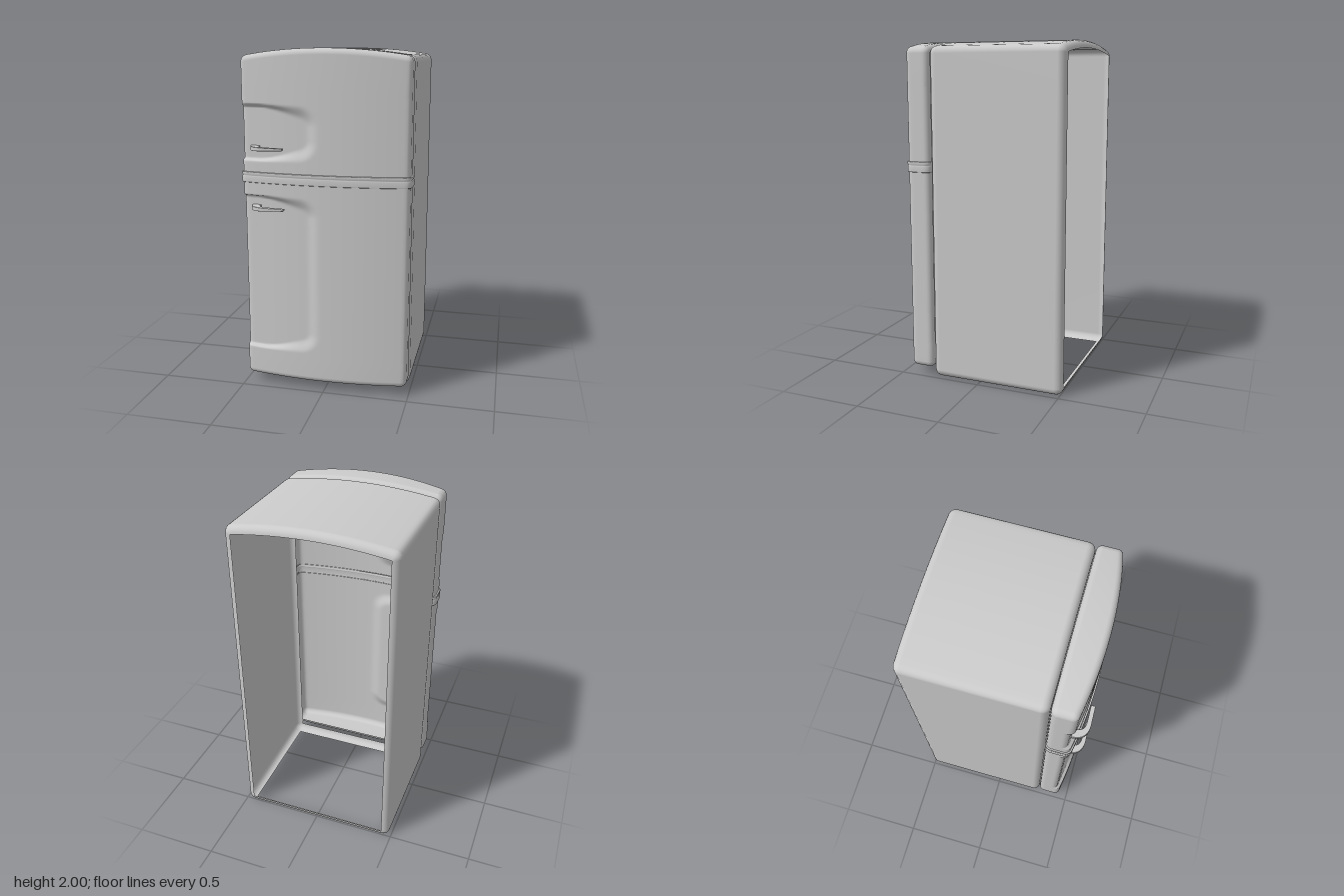
import * as THREE from 'three';

const grey = new THREE.MeshStandardMaterial({ color: 0xcccccc, side: THREE.DoubleSide });
const HALF_WIDTH = 0.487;
const M = 28; // points along each half of the flat and bowed sides

const topY = x => 2 - 0.18 * x * x;       // arched roof line
const frontZ = x => 0.484 - 0.2 * x * x;  // bowed door front
const smooth = (a, b, v) => THREE.MathUtils.smoothstep(v, a, b);

// Closed outline: flat base, rounded corners, bowed far side; d insets it
function outline(d, base, bow, r) {
  const hw = HALF_WIDTH - d, rc = Math.max(r - d, 0.002), half = [];
  for (let i = 0; i <= M; i++) half.push([(hw - rc) * i / M, base + d]);
  for (let k = 1; k <= 5; k++) {
    const a = (k / 5 - 1) * Math.PI / 2;
    half.push([hw - rc + rc * Math.cos(a), base + d + rc + rc * Math.sin(a)]);
  }
  const cx = hw - rc, cy = bow(cx) - d - rc;
  for (let k = 1; k < 5; k++) half.push([hw, THREE.MathUtils.lerp(base + d + rc, cy, k / 5)]);
  for (let k = 0; k < 5; k++) {
    const a = k / 5 * 1.45;
    half.push([cx + rc * Math.cos(a), cy + rc * Math.sin(a)]);
  }
  for (let i = M; i >= 0; i--) half.push([cx * i / M, bow(cx * i / M) - d]);
  const mirror = half.slice(1, -1).reverse().map(([x, v]) => [-x, v]);
  return half.concat(mirror);
}

// Skin between rings; the flat side is left out between two open rings
function loft(rings, name) {
  const n = rings[0].points.length, pos = [], index = [];
  rings.forEach(ring => ring.points.forEach(p => pos.push(...p)));
  for (let j = 0; j + 1 < rings.length; j++) {
    const open = rings[j].open && rings[j + 1].open;
    for (let i = 0; i < n; i++) {
      if (open && (i < M || i >= n - M)) continue;
      const a = j * n + i, b = j * n + (i + 1) % n;
      index.push(a, b, b + n, a, b + n, a + n);
    }
  }
  const g = new THREE.BufferGeometry();
  g.setAttribute('position', new THREE.Float32BufferAttribute(pos, 3));
  g.setIndex(index);
  g.computeVertexNormals();
  const mesh = new THREE.Mesh(g, grey);
  mesh.name = name;
  return mesh;
}

// Quarter-round steps: [inset, height, isOuter]
function bevel(r) {
  return [0, 1, 2, 3, 4, 5].map(k => {
    const a = k / 5 * Math.PI / 2;
    return [r * (1 - Math.cos(a)), r * Math.sin(a), k === 0];
  });
}

// Cabinet shell, open at the front, back and underside
function cabinet() {
  const r = 0.045, z0 = -0.515, z1 = 0.295;
  const ring = (d, z, open) => ({ open, points: outline(d, 0, topY, r).map(([x, y]) => [x, y, z]) });
  const back = bevel(r).reverse().map(([d, h, o]) => ring(d, z0 + r - h, o));
  const front = bevel(r).map(([d, h, o]) => ring(d, z1 - r + h, o));
  return loft([...back, ...front], 'cabinet');
}

// Depth (0..1) of the scooped hand recesses, which run out at the hinge-free side
function recess(x, y) {
  let depth = 0;
  for (const [lo, hi] of [[1.37, 1.69], [0.23, 1.17]]) {
    const r = 0.12;
    const qx = x + 0.02 + r, qy = Math.abs(y - (lo + hi) / 2) - (hi - lo) / 2 + r;
    const dist = Math.hypot(Math.max(qx, 0), Math.max(qy, 0)) + Math.min(Math.max(qx, qy), 0) - r;
    const fade = THREE.MathUtils.lerp(0.012, 0.1, smooth(-0.4, -0.02, x));
    depth = Math.max(depth, smooth(0, fade, -dist));
  }
  return depth;
}

// One door ring; y may depend on x
function doorRing(d, yAt, open, carve = true) {
  const points = outline(d, 0.297, frontZ, 0.035).map(([x, z]) => {
    const y = yAt(x);
    const c = carve ? recess(x, y) * smooth(0.36, 0.42, z) : 0;
    return [x + 0.01 * c * smooth(-0.42, -0.48, x), y, Math.max(z - 0.022 * c, 0.295)];
  });
  return { open, points };
}

function capRing(d, yAt) {
  const ring = doorRing(d, yAt, false, false);
  ring.points.forEach(p => { p[2] = 0.39; });
  return ring;
}

function rows(from, to, step) {
  const n = Math.round((to - from) / step);
  return Array.from({ length: n + 1 }, (_, i) => {
    const y = from + (to - from) * i / n;
    return doorRing(0, () => y, true);
  });
}

function upperDoor() {
  const r = 0.035;
  const edge = bevel(r).map(([d, h, o]) => doorRing(d, x => topY(x) - r + h, o));
  return loft([...rows(1.3, 1.74, 0.008), ...edge, capRing(r, topY)].reverse(), 'upperDoor');
}

function lowerDoor() {
  const r = 0.035, y0 = 0.05;
  const edge = bevel(r).reverse().map(([d, h, o]) => doorRing(d, () => y0 + r - h, o));
  return loft([capRing(r, () => y0), ...edge, ...rows(0.2, 0.4, 0.008),
    ...rows(0.45, 0.95, 0.05), ...rows(1.0, 1.25, 0.008)].reverse(), 'lowerDoor');
}

// Trim strip between the doors, with a stepped profile
function trimBand() {
  const profile = [[0.004, 1.244], [-0.007, 1.244], [-0.009, 1.247], [-0.009, 1.278],
    [-0.006, 1.281], [-0.006, 1.287], [-0.009, 1.29], [-0.009, 1.303], [-0.007, 1.306], [0.004, 1.306]];
  return loft(profile.map(([d, y]) => doorRing(d, () => y, true, false)).reverse(), 'trimBand');
}

// Hooked pull, thinner towards its free end
function handle(y, name) {
  const s = new THREE.Shape();
  s.moveTo(-0.43, 0.42);
  s.bezierCurveTo(-0.43, 0.475, -0.405, 0.513, -0.34, 0.513);
  s.lineTo(-0.225, 0.51);
  s.lineTo(-0.225, 0.488);
  s.lineTo(-0.33, 0.49);
  s.bezierCurveTo(-0.37, 0.488, -0.385, 0.465, -0.38, 0.42);
  const g = new THREE.ExtrudeGeometry(s, {
    depth: 0.016, bevelEnabled: true, bevelThickness: 0.004, bevelSize: 0.002, bevelSegments: 2, curveSegments: 12,
  });
  g.translate(0, 0, -0.008);
  g.rotateX(Math.PI / 2);
  const p = g.attributes.position;
  for (let i = 0; i < p.count; i++) p.setY(i, p.getY(i) * (1 - 0.5 * smooth(-0.43, -0.22, p.getX(i))));
  g.computeVertexNormals();
  const mesh = new THREE.Mesh(g, grey);
  mesh.position.y = y;
  mesh.name = name;
  return mesh;
}

export function createModel() {
  const model = new THREE.Group();
  model.name = 'refrigerator';
  model.add(cabinet(), upperDoor(), lowerDoor(), trimBand(),
    handle(1.445, 'upperHandle'), handle(1.1, 'lowerHandle'));
  return model;
}
